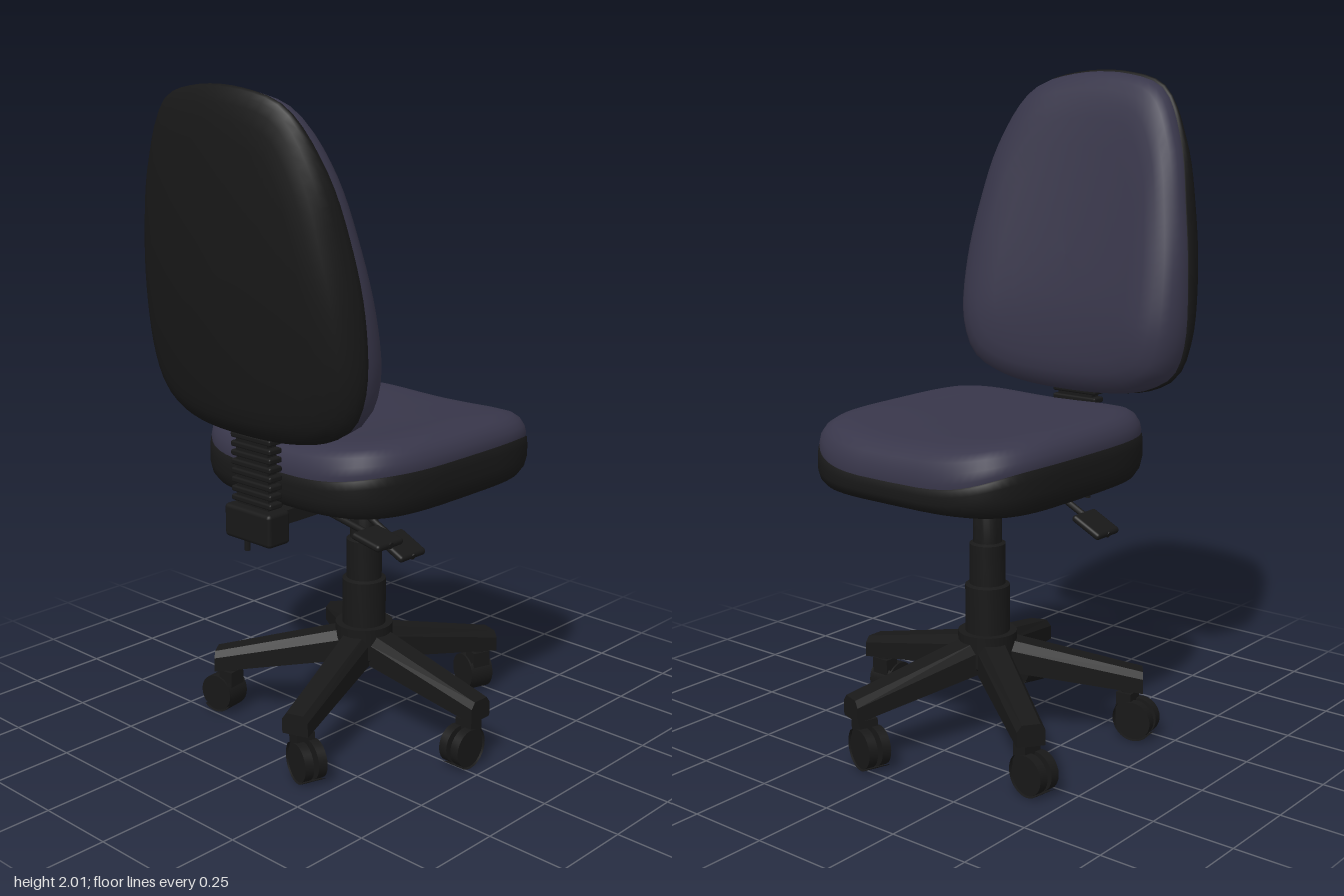
import * as THREE from 'three';
import { RoundedBoxGeometry } from 'three/addons/geometries/RoundedBoxGeometry.js';
import { toCreasedNormals } from 'three/addons/utils/BufferGeometryUtils.js';

const fabric = new THREE.MeshStandardMaterial({ color: 0x38364a });
const black = new THREE.MeshStandardMaterial({ color: 0x181818 });
const blackThin = new THREE.MeshStandardMaterial({ color: 0x181818, side: THREE.DoubleSide });
const lerp = THREE.MathUtils.lerp;
const CX = 0.055, CZ = -0.01; // axis of the gas column

function add(parent, name, geometry, material = black, x = 0, y = 0, z = 0) {
  const mesh = new THREE.Mesh(geometry, material);
  mesh.name = name;
  mesh.position.set(x, y, z);
  parent.add(mesh);
  return mesh;
}

// Shrinks an outline through rings [scale, height]; place() turns (a, b, height) into a point.
function loft(outline, rings, place, flip) {
  const n = outline.length, pos = [], idx = [];
  for (const [s, h] of rings) for (const [a, b] of outline) pos.push(...place(a * s, b * s, h));
  for (let i = 0; i < rings.length - 1; i++) {
    for (let j = 0; j < n; j++) {
      const a = i * n + j, b = i * n + (j + 1) % n, c = a + n, d = b + n;
      if (flip) idx.push(a, b, c, b, d, c);
      else idx.push(a, c, b, b, c, d);
    }
  }
  const g = new THREE.BufferGeometry();
  g.setAttribute('position', new THREE.Float32BufferAttribute(pos, 3));
  g.setIndex(idx);
  g.computeVertexNormals();
  return g;
}

const cushionRings = [[0.985, -0.05], [0.99, 0.15], [0.98, 0.4], [0.95, 0.65], [0.9, 0.83], [0.83, 0.94],
  [0.74, 1], [0.6, 1], [0.45, 1], [0.3, 1], [0.15, 1], [0, 1]];

function buildSeat() {
  const seat = new THREE.Group();
  seat.name = 'seat';
  const outline = [];
  for (let i = 0; i < 72; i++) {
    const t = i / 72 * Math.PI * 2, c = Math.cos(t), s = Math.sin(t);
    const e = c > 0 ? 0.5 : 0.58;
    outline.push([0.428 * Math.sign(c) * Math.abs(c) ** e, 0.398 * Math.sign(s) * Math.abs(s) ** 0.52]);
  }
  const seam = (x) => 0.94 - 0.065 * Math.max(0, x / 0.428) ** 6 - 0.03 * Math.max(0, -x / 0.428) ** 8;
  const top = (x, z) => 1.0 + 0.02 * Math.min(1, (z / 0.3) ** 2) - 0.02 * Math.max(0, x / 0.428) ** 2
    + 0.006 * Math.max(0, -x / 0.428);
  const cushion = (x, z, h) => [x + 0.077, lerp(seam(x), top(x, z), h), z - 0.012];
  const shell = (x, z, h) => [x + 0.077, lerp(seam(x), 0.805, h), z - 0.012];
  add(seat, 'seatCushion', loft(outline, cushionRings, cushion), fabric);
  add(seat, 'seatShell', loft(outline,
    [[0.975, -0.02], [0.995, 0], [1, 0.2], [1, 0.5], [0.985, 0.75], [0.95, 0.93], [0.9, 1], [0.84, 1]], shell, true));
  add(seat, 'seatUnderside', loft(outline, [[0.85, 1], [0, 1]], shell, true), fabric);
  return seat;
}

function buildBackrest() {
  const back = new THREE.Group();
  back.name = 'backrest';
  const MID = 1.45;
  // right half of the egg-shaped outline as (y, half width), mirrored
  const half = [[2.0, 0.1], [1.955, 0.24], [1.8, 0.335], [1.6, 0.385], [1.4, 0.413], [1.2, 0.41],
    [1.1, 0.37], [1.05, 0.29], [1.022, 0.16]];
  const loop = [...half, ...half.map(([y, z]) => [y, -z]).reverse()];
  const curve = new THREE.CatmullRomCurve3(loop.map(([y, z]) => new THREE.Vector3(y - MID, z, 0)), true);
  const outline = curve.getSpacedPoints(72).slice(0, 72).map((p) => [p.x, p.y]);

  const seam = (y) => -0.345 - 0.135 * ((y - 1.25) / 0.75) ** 2;
  const front = (y, z) => {
    const v = Math.max(0, (y - 1.2) / 0.75);
    return -0.228 - 0.17 * (Math.sqrt(v * v + 0.02) - 0.14) - 0.025 * Math.max(0, 1 - (z / 0.3) ** 2);
  };
  const rear = (y, z) => -0.535 + 0.06 * ((1.7 - y) / 0.6) ** 2 + 0.08 * (z / 0.42) ** 2;
  const place = (target) => (a, z, h) => {
    const y = a + MID;
    return [lerp(seam(y), target(y, z), h), y, z - 0.037];
  };
  add(back, 'backCushion', loft(outline, cushionRings, place(front), true), fabric);
  add(back, 'backShell', loft(outline, [[0.975, -0.03], [0.995, 0], [1, 0.2], [0.99, 0.45], [0.965, 0.7],
    [0.92, 0.88], [0.85, 0.97], [0.75, 1], [0.55, 1], [0.35, 1], [0.15, 1], [0, 1]], place(rear)));
  return back;
}

// Leg: chamfered section swept outward along x, tapering and dropping to the tip.
function legGeometry() {
  const s = new THREE.Shape();
  [[-1, 0], [1, 0], [1, 0.7], [0.65, 1], [-0.65, 1], [-1, 0.7]]
    .forEach(([x, y], i) => (i ? s.lineTo(x, y) : s.moveTo(x, y)));
  const g = new THREE.ExtrudeGeometry(s, { depth: 1, bevelEnabled: false });
  const p = g.attributes.position;
  for (let i = 0; i < p.count; i++) {
    const x = p.getX(i), y = p.getY(i), t = p.getZ(i);
    p.setXYZ(i, lerp(0.04, 0.475, t), lerp(lerp(0.215, 0.145, t), lerp(0.315, 0.21, t), y), -x * lerp(0.05, 0.042, t));
  }
  g.computeVertexNormals();
  return g;
}

// Twin-wheel caster rolling along its own +x, with the swivel pin at the origin.
function buildCaster() {
  const caster = new THREE.Group();
  caster.name = 'caster';
  const wheel = toCreasedNormals(new THREE.CylinderGeometry(0.058, 0.058, 0.028, 24).rotateX(Math.PI / 2), 0.6);
  for (const side of [-1, 1]) add(caster, 'wheel', wheel, black, 0.035, 0.06, side * 0.022);
  add(caster, 'axle', new THREE.CylinderGeometry(0.018, 0.018, 0.05, 12).rotateX(Math.PI / 2), black, 0.035, 0.06, 0);
  const hood = new THREE.CylinderGeometry(0.066, 0.066, 0.078, 18, 1, true, -Math.PI * 0.72, Math.PI * 0.95);
  add(caster, 'hood', hood.rotateX(Math.PI / 2), blackThin, 0.035, 0.063, 0);
  add(caster, 'swivelBlock', new THREE.BoxGeometry(0.05, 0.08, 0.06), black, 0, 0.1, 0);
  add(caster, 'pin', new THREE.CylinderGeometry(0.022, 0.022, 0.08, 12), black, 0, 0.14, 0);
  return caster;
}

function buildBase() {
  const base = new THREE.Group();
  base.name = 'base';
  base.position.set(CX, 0, CZ);
  const leg = legGeometry();
  // direction of each leg and heading of its caster, degrees from +x toward +z
  const legs = [[90, 180], [18, -72], [162, 108], [-54, -82], [-126, -98]];
  for (const [dir, heading] of legs) {
    const a = THREE.MathUtils.degToRad(dir);
    add(base, 'leg', leg).rotation.y = -a;
    const caster = buildCaster();
    caster.position.set(Math.cos(a) * 0.43, 0, Math.sin(a) * 0.43);
    caster.rotation.y = -THREE.MathUtils.degToRad(heading);
    base.add(caster);
  }
  // hub and stepped gas column, turned as one profile
  const profile = [[0, 0.21], [0.075, 0.21], [0.09, 0.23], [0.09, 0.33], [0.068, 0.33], [0.068, 0.475], [0.055, 0.48],
    [0.055, 0.605], [0.044, 0.61], [0.044, 0.72], [0.034, 0.745], [0.034, 0.8], [0, 0.8]];
  const column = new THREE.LatheGeometry(profile.map(([r, y]) => new THREE.Vector2(r, y)), 28);
  add(base, 'column', toCreasedNormals(column, 0.5));
  return base;
}

// Control lever: a thin rod dropping sideways to a flat paddle.
function buildLever(x, y0, z0, y1, z1) {
  const lever = new THREE.Group();
  lever.name = 'lever';
  const length = Math.hypot(y1 - y0, z1 - z0);
  lever.position.set(x, y0, z0);
  lever.rotation.x = Math.atan2(-(y1 - y0), z1 - z0);
  add(lever, 'rod', new THREE.CylinderGeometry(0.01, 0.01, length, 10).rotateX(Math.PI / 2), black, 0, 0, length / 2);
  add(lever, 'paddle', new RoundedBoxGeometry(0.11, 0.022, 0.11, 3, 0.01), black, 0, 0, length - 0.055);
  return lever;
}

function buildMechanism() {
  const m = new THREE.Group();
  m.name = 'mechanism';
  add(m, 'mountPlate', new THREE.BoxGeometry(0.175, 0.014, 0.19), black, CX, 0.797, -0.015);
  add(m, 'supportBar', new THREE.BoxGeometry(0.34, 0.042, 0.13), black, -0.2, 0.78, -0.015);
  add(m, 'backBracket', new RoundedBoxGeometry(0.085, 0.1, 0.19, 2, 0.012), black, -0.387, 0.76, -0.02);
  add(m, 'adjusterPin', new THREE.CylinderGeometry(0.009, 0.009, 0.06, 10), black, -0.385, 0.695, -0.065);
  // ribbed sleeve around the backrest post
  add(m, 'backPost', new THREE.BoxGeometry(0.035, 0.36, 0.13), black, -0.382, 0.96, -0.025);
  for (let i = 0; i < 9; i++)
    add(m, 'sleeveRib', new RoundedBoxGeometry(0.05, 0.018, 0.165, 1, 0.006), black, -0.382, 0.825 + i * 0.027, -0.025);
  m.add(buildLever(-0.185, 0.77, 0.04, 0.72, 0.32));
  m.add(buildLever(-0.065, 0.77, 0.04, 0.65, 0.3));
  m.add(buildLever(-0.125, 0.775, -0.07, 0.645, -0.33));
  return m;
}

export function createModel() {
  const chair = new THREE.Group();
  chair.name = 'officeChair';
  chair.add(buildSeat(), buildBackrest(), buildBase(), buildMechanism());
  return chair;
}
